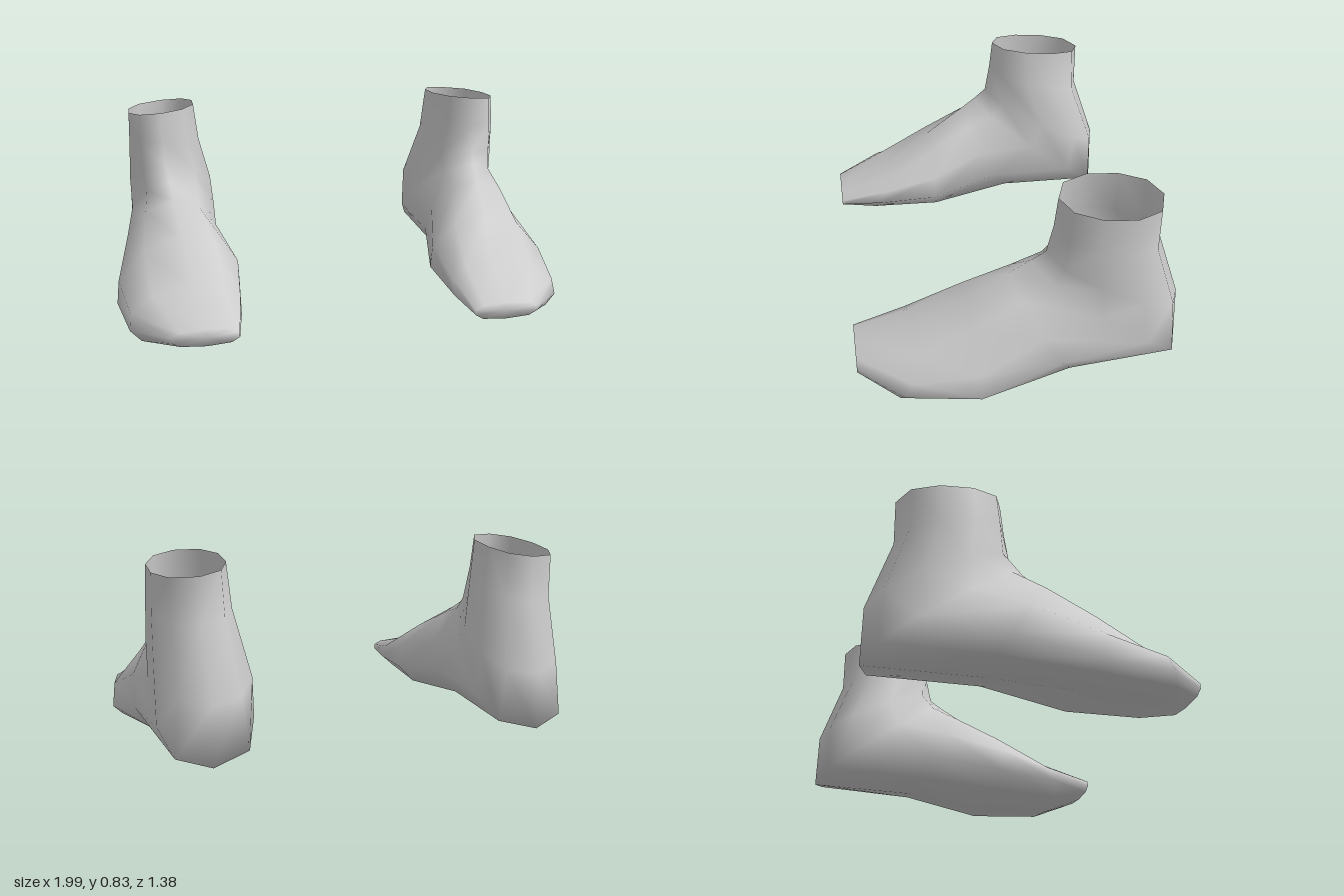
import * as THREE from 'three';

const SIDES = 10;

// Cross-sections of the left foot, fanning from the open ankle round to the toes.
// top/bottom: [x, y, z] ends of the section (shin/instep and heel/sole)
// inner/outer: [x, fraction of the way from top to bottom where it is widest]
// power: corner shape of the upper and lower halves (smaller is squarer)
const SECTIONS = [
  { top: [0.75, 0.83, -0.14], bottom: [0.73, 0.79, -0.577], inner: [0.585, 0.5], outer: [0.9, 0.5], power: [0.9, 0.8], tilt: 0.03 },
  { top: [0.75, 0.7, -0.125], bottom: [0.73, 0.59, -0.577], inner: [0.565, 0.55], outer: [0.905, 0.5], power: [0.9, 0.85] },
  { top: [0.74, 0.575, -0.1], bottom: [0.72, 0.29, -0.68], inner: [0.51, 0.65], outer: [0.915, 0.5], power: [1, 0.9] },
  { top: [0.73, 0.53, -0.04], bottom: [0.72, 0.045, -0.685], inner: [0.5, 0.6], outer: [0.915, 0.6], power: [1.1, 0.6] },
  { top: [0.72, 0.47, 0.05], bottom: [0.74, 0.045, -0.2], inner: [0.515, 0.55], outer: [0.945, 0.65], power: [1.1, 0.6] },
  { top: [0.7, 0.36, 0.22], bottom: [0.8, 0.005, 0.2], inner: [0.44, 0.55], outer: [1, 0.78], power: [1.15, 0.5] },
  { top: [0.67, 0.215, 0.44], bottom: [0.76, 0.01, 0.53], inner: [0.465, 0.4], outer: [0.95, 0.6], power: [0.9, 0.6] },
  { top: [0.64, 0.135, 0.69], bottom: [0.64, 0.06, 0.69], inner: [0.5, 0.45], outer: [0.785, 0.5], power: [0.6, 0.6] },
];

function sectionPoint({ top, bottom, inner, outer, power, tilt = 0 }, angle) {
  const c = Math.cos(angle), s = Math.sin(angle);
  const [sideX, widest] = s >= 0 ? outer : inner;
  const upper = c >= 0;
  const t = upper ? widest * (1 - c) : widest - (1 - widest) * c;
  const middle = upper ? top[0] : bottom[0];
  const x = middle + (sideX - middle) * Math.pow(Math.abs(s), power[upper ? 0 : 1]);
  const y = THREE.MathUtils.lerp(top[1], bottom[1], t) - tilt * 0.5 * s;
  return [x, y, THREE.MathUtils.lerp(top[2], bottom[2], t)];
}

function footGeometry(side) {
  const positions = [], index = [];
  for (const section of SECTIONS) {
    for (let i = 0; i < SIDES; i++) {
      const [x, y, z] = sectionPoint(section, (i / SIDES) * Math.PI * 2);
      positions.push(side * x, y, z);
    }
  }
  // Mirrored feet need the opposite corner order
  const face = (a, b, c) => (side > 0 ? index.push(a, b, c) : index.push(a, c, b));
  for (let r = 0; r < SECTIONS.length - 1; r++) {
    for (let i = 0; i < SIDES; i++) {
      const j = (i + 1) % SIDES;
      const a = r * SIDES + i, b = r * SIDES + j;
      face(a, a + SIDES, b);
      face(b, a + SIDES, b + SIDES);
    }
  }
  // Blunt toe end
  const last = (SECTIONS.length - 1) * SIDES;
  const centre = positions.length / 3;
  positions.push(side * 0.64, 0.0975, 0.69);
  for (let i = 0; i < SIDES; i++) face(last + i, centre, last + ((i + 1) % SIDES));

  const geometry = new THREE.BufferGeometry();
  geometry.setAttribute('position', new THREE.Float32BufferAttribute(positions, 3));
  geometry.setIndex(index);
  geometry.computeVertexNormals();
  return geometry;
}

export function createModel() {
  const group = new THREE.Group();
  group.name = 'feet';
  // Open at the ankle, so the inside shows too
  const grey = new THREE.MeshStandardMaterial({ color: 0xcccccc, side: THREE.DoubleSide });
  grey.name = 'light grey';
  for (const [name, side] of [['leftFoot', 1], ['rightFoot', -1]]) {
    const foot = new THREE.Mesh(footGeometry(side), grey);
    foot.name = name;
    group.add(foot);
  }
  return group;
}
